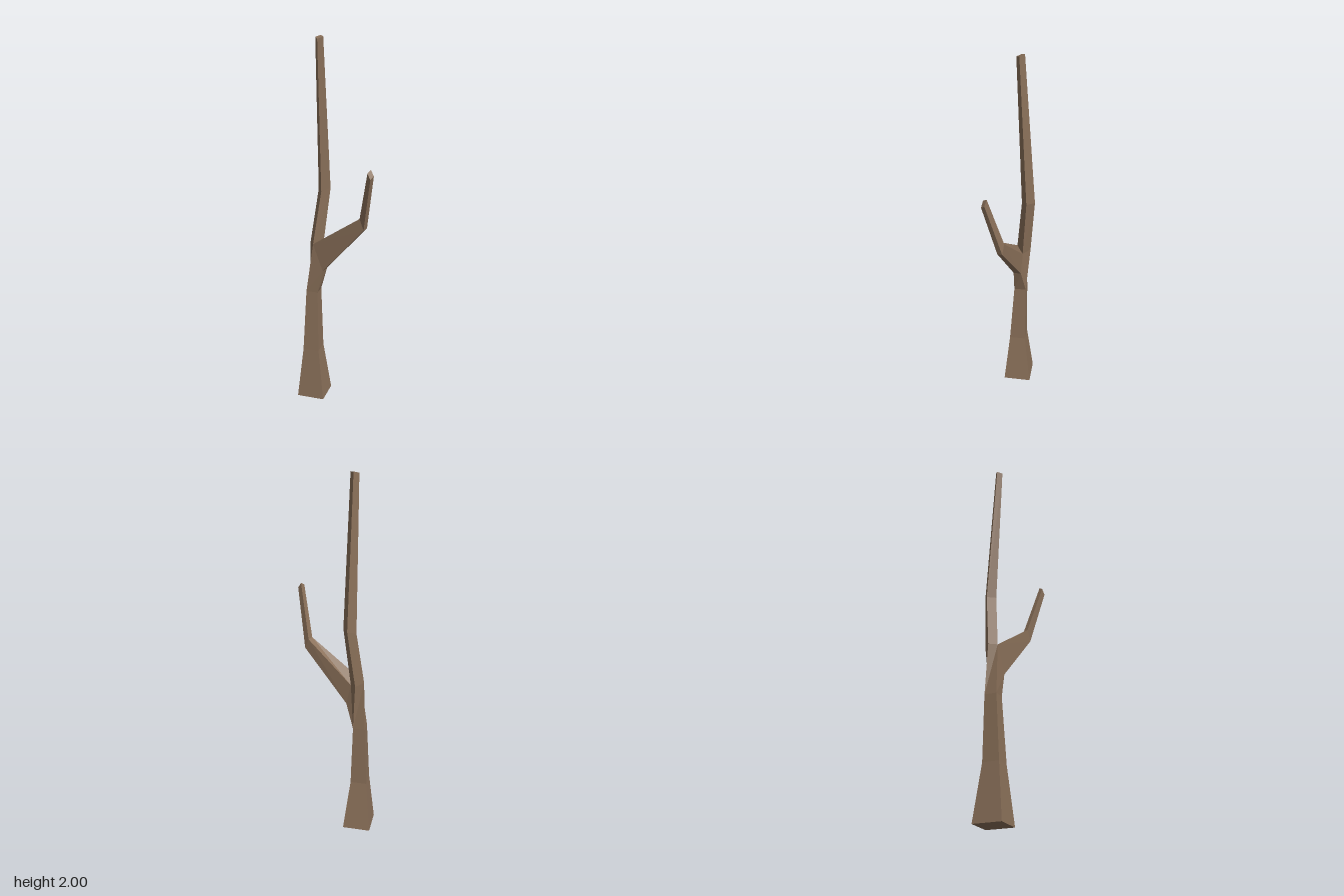
import * as THREE from 'three';

const bark = new THREE.MeshStandardMaterial({ color: 0x8a7059 });
bark.name = 'bark';
bark.flatShading = true;

// Mesh from four-cornered faces, corners counter-clockwise from outside
function quadMesh(name, quads) {
  const pos = [];
  for (const [a, b, c, d] of quads) pos.push(...a, ...b, ...c, ...a, ...c, ...d);
  const geo = new THREE.BufferGeometry();
  geo.setAttribute('position', new THREE.Float32BufferAttribute(pos, 3));
  geo.computeVertexNormals();
  const mesh = new THREE.Mesh(geo, bark);
  mesh.name = name;
  return mesh;
}

// Side faces joining successive four-cornered rings
function loft(rings) {
  const quads = [];
  for (let r = 0; r < rings.length - 1; r++) {
    for (let i = 0; i < 4; i++) {
      const j = (i + 1) % 4;
      quads.push([rings[r][i], rings[r][j], rings[r + 1][j], rings[r + 1][i]]);
    }
  }
  return quads;
}

// Level square ring: front left, front right, back right, back left
const square = (y, x0, x1, z0, z1) => [[x0, y, z1], [x1, y, z1], [x1, y, z0], [x0, y, z0]];

export function createModel() {
  const group = new THREE.Group();
  group.name = 'bareTree';

  // Flared trunk
  const base = square(0, -0.218, -0.068, -0.102, 0.048);
  const knee = square(0.29, -0.19, -0.102, -0.067, 0.02);
  const neck = square(0.635, -0.176, -0.112, -0.067, -0.003);
  group.add(quadMesh('trunk', [[...base].reverse(), ...loft([base, knee, neck])]));

  // Fork: the neck splits into an upper ring and a side ring sharing one edge
  const front = [-0.139, 0.91, -0.015], right = [-0.095, 0.885, -0.05];
  const back = [-0.125, 0.9, -0.089], left = [-0.166, 0.91, -0.055];
  const lowFront = [-0.082, 0.765, -0.003], lowBack = [-0.07, 0.772, -0.045];
  const [fl, fr, br, bl] = neck;
  group.add(quadMesh('fork', [
    [fl, fr, lowFront, front],
    [fr, br, lowBack, lowFront],
    [br, back, right, lowBack],
    [br, bl, left, back],
    [bl, fl, front, left],
  ]));

  // Tall main limb
  const limbBend = [[-0.1, 1.2, -0.043], [-0.058, 1.215, -0.072], [-0.086, 1.215, -0.113], [-0.128, 1.2, -0.085]];
  const limbTip = [[-0.104, 1.985, -0.01], [-0.079, 1.995, -0.028], [-0.098, 2, -0.052], [-0.122, 1.992, -0.034]];
  group.add(quadMesh('mainLimb', [...loft([[front, right, back, left], limbBend, limbTip]), limbTip]));

  // Side branch, bending upward
  const branchBend = [[0.132, 1.1, 0.038], [0.155, 1.04, 0.044], [0.166, 1.045, 0.017], [0.145, 1.098, 0.01]];
  const branchTip = [[0.188, 1.365, 0.105], [0.205, 1.335, 0.112], [0.218, 1.35, 0.093], [0.2, 1.38, 0.085]];
  group.add(quadMesh('sideBranch', [...loft([[front, lowFront, lowBack, right], branchBend, branchTip]), branchTip]));

  return group;
}
